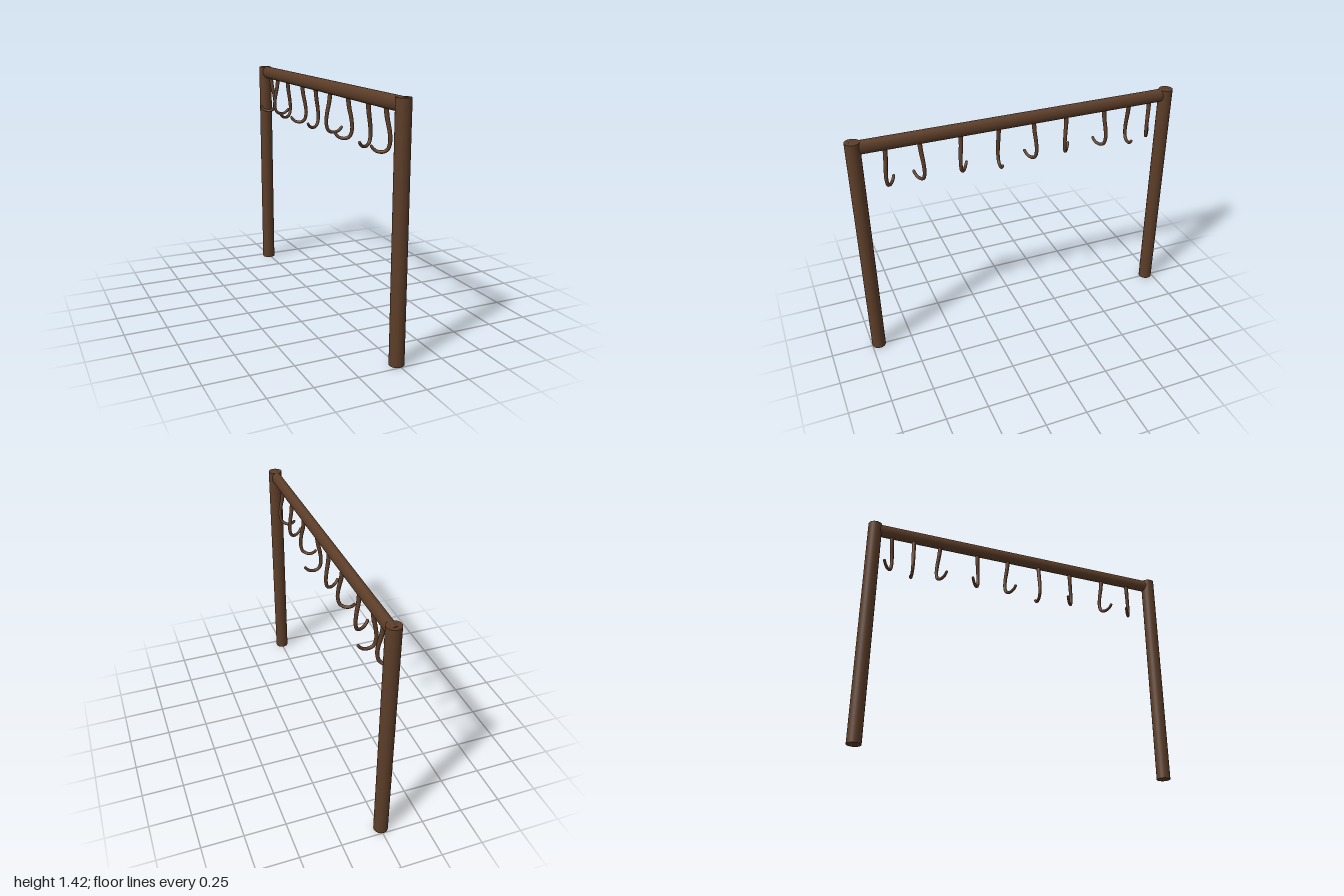
import * as THREE from 'three';

const X0 = -0.004; // centre line of posts and rail

// J-shaped hook in the XY plane (tip towards +x), tapering to a round point
function hookGeometry() {
  const curve = new THREE.CatmullRomCurve3([
    [0, 1.36], [-0.008, 1.29], [-0.022, 1.22], [-0.026, 1.165],
    [-0.014, 1.125], [0.012, 1.111], [0.045, 1.115], [0.066, 1.132], [0.07, 1.138],
  ].map(([x, y]) => new THREE.Vector3(x, y, 0)));
  const segments = 40, sides = 12;
  const geo = new THREE.TubeGeometry(curve, segments, 1, sides);
  const pos = geo.attributes.position;
  const v = new THREE.Vector3();
  for (let i = 0; i <= segments; i++) {
    const t = i / segments;
    const centre = curve.getPointAt(t);
    const radius = THREE.MathUtils.lerp(0.0135, 0.0085, t);
    for (let j = 0; j <= sides; j++) {
      const k = i * (sides + 1) + j;
      v.fromBufferAttribute(pos, k).sub(centre).multiplyScalar(radius).add(centre);
      pos.setXYZ(k, v.x, v.y, v.z);
    }
  }
  return geo;
}

export function createModel() {
  const model = new THREE.Group();
  model.name = 'hookRack';
  const wood = new THREE.MeshStandardMaterial({ color: 0x5c3d28 });

  const add = (name, geometry, parent = model) => {
    const mesh = new THREE.Mesh(geometry, wood);
    mesh.name = name;
    parent.add(mesh);
    return mesh;
  };

  // Two upright posts
  const postGeo = new THREE.CylinderGeometry(0.042, 0.042, 1.412, 32);
  for (const [name, z] of [['frontPost', 0.958], ['backPost', -0.958]]) {
    add(name, postGeo, model).position.set(X0, 0.706, z);
  }

  // Oval rail resting in the post tops
  const railGeo = new THREE.CylinderGeometry(1, 1, 1.95, 32);
  railGeo.rotateX(Math.PI / 2).scale(0.03, 0.0405, 1);
  add('rail', railGeo).position.set(X0, 1.3755, 0);

  // Hooks: position along the rail and heading of the tip (x, z)
  const hookGeo = hookGeometry();
  const tipGeo = new THREE.SphereGeometry(0.0085, 12, 8);
  const forward = [-0.9, 0.43], backward = [-0.8, -0.6], side = [1, 0.08];
  const hooks = [
    [0.785, backward], [0.595, forward], [0.355, backward],
    [0.13, side], [-0.085, forward], [-0.295, backward],
    [-0.54, forward], [-0.71, side], [-0.85, backward],
  ];
  hooks.forEach(([z, [dx, dz]], i) => {
    const hook = new THREE.Group();
    hook.name = `hook${i + 1}`;
    add('hookShank', hookGeo, hook);
    add('hookTip', tipGeo, hook).position.set(0.07, 1.138, 0);
    hook.position.set(X0, 0, z);
    hook.rotation.y = Math.atan2(-dz, dx);
    model.add(hook);
  });

  return model;
}
